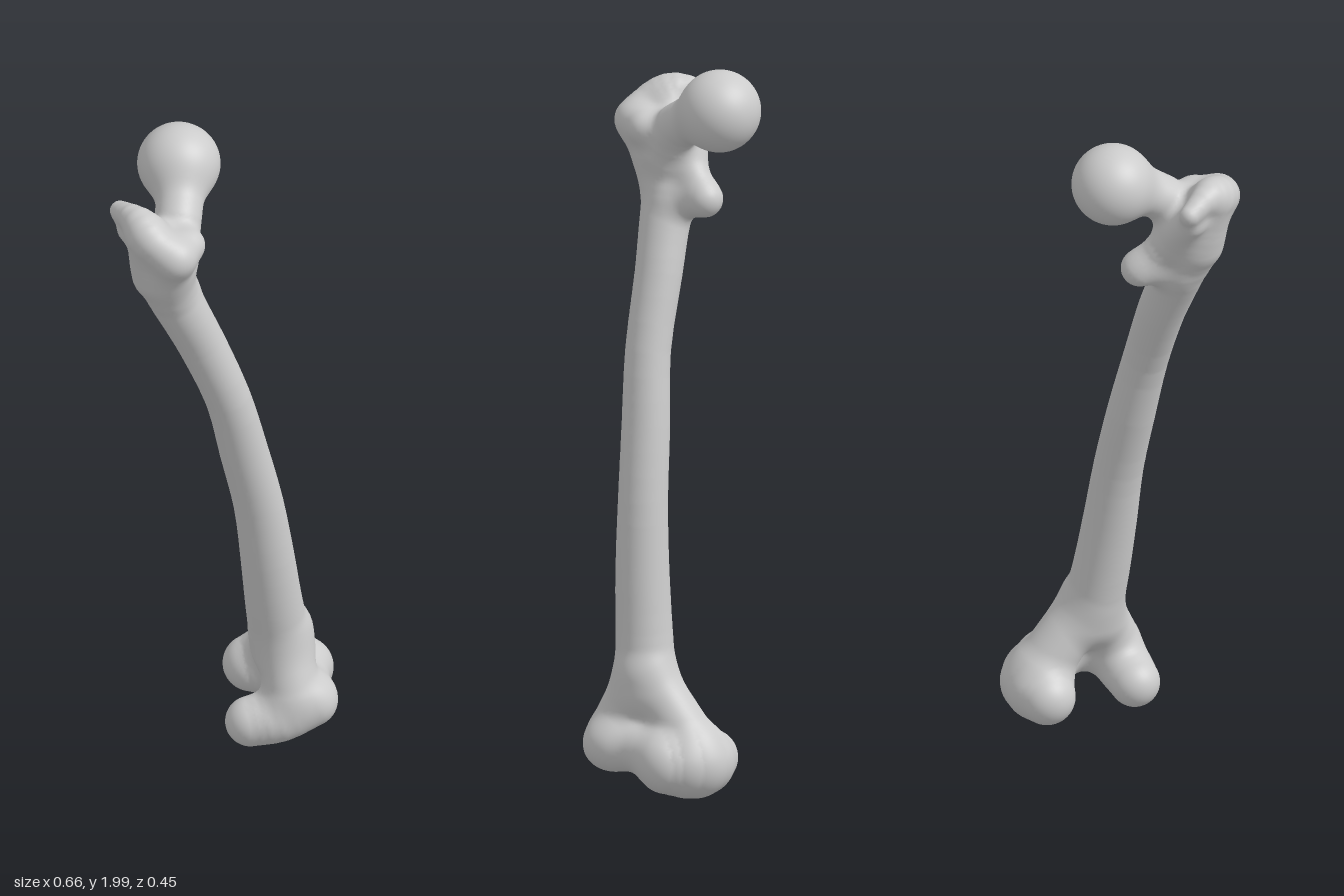
import * as THREE from 'three';
import { mergeVertices } from 'three/addons/utils/BufferGeometryUtils.js';

// Each part is one or more swept limbs; every limb is a list of [x, y, z, radius] stations
const PARTS = {
  shaft: [[
    [0.15, 0.28, 0.03, 0.084], [0.122, 0.44, 0.045, 0.078], [0.097, 0.62, 0.057, 0.073],
    [0.07, 0.8, 0.063, 0.068], [0.024, 1.0, 0.068, 0.066], [-0.026, 1.2, 0.076, 0.062],
    [-0.1, 1.4, 0.067, 0.065], [-0.143, 1.5, 0.066, 0.068], [-0.185, 1.6, 0.064, 0.073],
    [-0.21, 1.7, 0.072, 0.078], [-0.225, 1.77, 0.09, 0.07],
  ]],
  head: [[[-0.095, 1.888, -0.107, 0.112], [-0.093, 1.887, -0.106, 0.112]]],
  neck: [[[-0.1, 1.875, -0.08, 0.07], [-0.15, 1.81, 0.025, 0.064], [-0.19, 1.73, 0.07, 0.075]]],
  greaterTrochanter: [
    // crest running from the rear tip to the front
    [[-0.304, 1.85, -0.015, 0.028], [-0.287, 1.866, 0.07, 0.041], [-0.265, 1.83, 0.13, 0.052],
      [-0.218, 1.79, 0.165, 0.052]],
    // outer wall and front ridge falling to the shaft
    [[-0.27, 1.83, 0.09, 0.055], [-0.235, 1.68, 0.08, 0.065]],
    [[-0.22, 1.79, 0.162, 0.05], [-0.2, 1.62, 0.085, 0.05]],
    // inner knob
    [[-0.2, 1.78, 0.14, 0.045], [-0.16, 1.79, 0.125, 0.044]],
  ],
  lesserTrochanter: [
    [[-0.14, 1.61, -0.052, 0.042], [-0.185, 1.68, 0, 0.047], [-0.28, 1.8, 0.01, 0.04]],
    [[-0.14, 1.61, -0.05, 0.042], [-0.17, 1.59, 0.04, 0.055]],
  ],
  innerCondyle: [
    [[0.133, 0.1, -0.142, 0.078], [0.2, 0.108, -0.12, 0.099], [0.25, 0.112, -0.055, 0.08]],
    [[0.155, 0.33, 0.025, 0.07], [0.19, 0.16, -0.1, 0.078]],
  ],
  outerCondyle: [
    [[0.035, 0.092, 0.09, 0.069], [0.11, 0.108, 0.11, 0.076], [0.2, 0.138, 0.12, 0.073]],
    [[0.15, 0.33, 0.04, 0.07], [0.15, 0.17, 0.105, 0.078]],
  ],
  kneeGroove: [[[0.24, 0.14, -0.03, 0.068], [0.2, 0.14, 0.08, 0.068]]],
};
const BLEND = 0.035; // width of the fillet between parts
const STEP = 0.011; // mesh resolution
const MIN = [-0.37, -0.04, -0.26];
const COUNT = [66, 190, 48];

// Smooths a limb's stations into short tapered segments
function segments(stations) {
  const path = new THREE.CatmullRomCurve3(stations.map(([x, y, z]) => new THREE.Vector3(x, y, z)));
  const radii = new THREE.CatmullRomCurve3(stations.map((s, i) => new THREE.Vector3(i, s[3], 0)));
  const n = stations.length > 2 ? (stations.length - 1) * 3 : 1;
  const list = [];
  for (let i = 0; i < n; i++) {
    const a = path.getPoint(i / n), d = path.getPoint((i + 1) / n).sub(a);
    const r = radii.getPoint(i / n).y;
    list.push({ a, d, len2: d.lengthSq(), r, dr: radii.getPoint((i + 1) / n).y - r });
  }
  return list;
}
const names = Object.keys(PARTS);
const limbs = names.flatMap((name, part) => PARTS[name].map((s) => ({ part, segs: segments(s) })));

// Distance to one limb
function limbDistance(segs, x, y, z) {
  let best = Infinity;
  for (const { a, d, len2, r, dr } of segs) {
    const px = x - a.x, py = y - a.y, pz = z - a.z;
    const t = Math.min(1, Math.max(0, (px * d.x + py * d.y + pz * d.z) / len2));
    const ex = px - d.x * t, ey = py - d.y * t, ez = pz - d.z * t;
    best = Math.min(best, Math.sqrt(ex * ex + ey * ey + ez * ez) - r - dr * t);
  }
  return best;
}

// Distance to the blended bone
function field(x, y, z) {
  let f = 1;
  for (const { segs } of limbs) {
    const d = limbDistance(segs, x, y, z);
    const h = Math.max(0, BLEND - Math.abs(f - d));
    f = Math.min(f, d) - (h * h) / (4 * BLEND);
  }
  return f;
}

function gradient(x, y, z) {
  const e = 0.004;
  return new THREE.Vector3(
    field(x + e, y, z) - field(x - e, y, z),
    field(x, y + e, z) - field(x, y - e, z),
    field(x, y, z + e) - field(x, y, z - e),
  ).normalize();
}

function nearestPart(x, y, z) {
  let best = Infinity, part = 0;
  for (const limb of limbs) {
    const d = limbDistance(limb.segs, x, y, z);
    if (d < best) [best, part] = [d, limb.part];
  }
  return part;
}

// Wraps the blended field in quads, sorted by part
function buildSkin() {
  const [nx, ny, nz] = COUNT;
  const stride = [1, nx, nx * ny];
  const values = new Float32Array(nx * ny * nz);
  const forCells = (start, fn) => {
    for (let k = start; k < nz - 1; k++)
      for (let j = start; j < ny - 1; j++)
        for (let i = start; i < nx - 1; i++) fn(i, j, k, i + j * nx + k * nx * ny);
  };
  for (let k = 0, n = 0; k < nz; k++)
    for (let j = 0; j < ny; j++)
      for (let i = 0; i < nx; i++)
        values[n++] = field(MIN[0] + i * STEP, MIN[1] + j * STEP, MIN[2] + k * STEP);

  // one vertex in every cell the surface passes through
  const vertexOf = new Int32Array(values.length).fill(-1);
  const positions = [], normals = [], owner = [];
  forCells(0, (i, j, k, n) => {
    const sum = new THREE.Vector3();
    let hits = 0;
    for (let c = 0; c < 8; c++) {
      for (let axis = 0; axis < 3; axis++) {
        if (c & (1 << axis)) continue;
        const o = [c & 1, (c >> 1) & 1, c >> 2];
        const m = n + o[0] + o[1] * stride[1] + o[2] * stride[2];
        const v0 = values[m], v1 = values[m + stride[axis]];
        if (v0 < 0 === v1 < 0) continue;
        o[axis] += v0 / (v0 - v1);
        sum.add(new THREE.Vector3(...o));
        hits++;
      }
    }
    if (!hits) return;
    const p = sum.divideScalar(hits).add(new THREE.Vector3(i, j, k)).multiplyScalar(STEP);
    p.add(new THREE.Vector3(...MIN));
    p.addScaledVector(gradient(p.x, p.y, p.z), -field(p.x, p.y, p.z));
    vertexOf[n] = owner.length;
    positions.push(p.x, p.y, p.z);
    normals.push(...gradient(p.x, p.y, p.z).toArray());
    owner.push(nearestPart(p.x, p.y, p.z));
  });

  // one quad across every grid edge the surface cuts
  const indices = names.map(() => []);
  forCells(1, (i, j, k, n) => {
    for (let axis = 0; axis < 3; axis++) {
      const inside = values[n] < 0;
      if (inside === values[n + stride[axis]] < 0) continue;
      const b = stride[(axis + 1) % 3], c = stride[(axis + 2) % 3];
      const q = [n - b - c, n - c, n, n - b].map((m) => vertexOf[m]);
      if (!inside) q.reverse();
      indices[owner[q[0]]].push(q[0], q[1], q[2], q[0], q[2], q[3]);
    }
  });
  return { positions, normals, indices };
}

export function createModel() {
  const group = new THREE.Group();
  group.name = 'thighBone';
  const material = new THREE.MeshStandardMaterial({ color: 0xcccccc });
  const { positions, normals, indices } = buildSkin();
  names.forEach((name, part) => {
    if (!indices[part].length) return;
    const whole = new THREE.BufferGeometry();
    whole.setAttribute('position', new THREE.Float32BufferAttribute(positions, 3));
    whole.setAttribute('normal', new THREE.Float32BufferAttribute(normals, 3));
    whole.setIndex(indices[part]);
    const mesh = new THREE.Mesh(mergeVertices(whole.toNonIndexed(), 1e-6), material);
    mesh.name = name;
    group.add(mesh);
  });
  return group;
}
